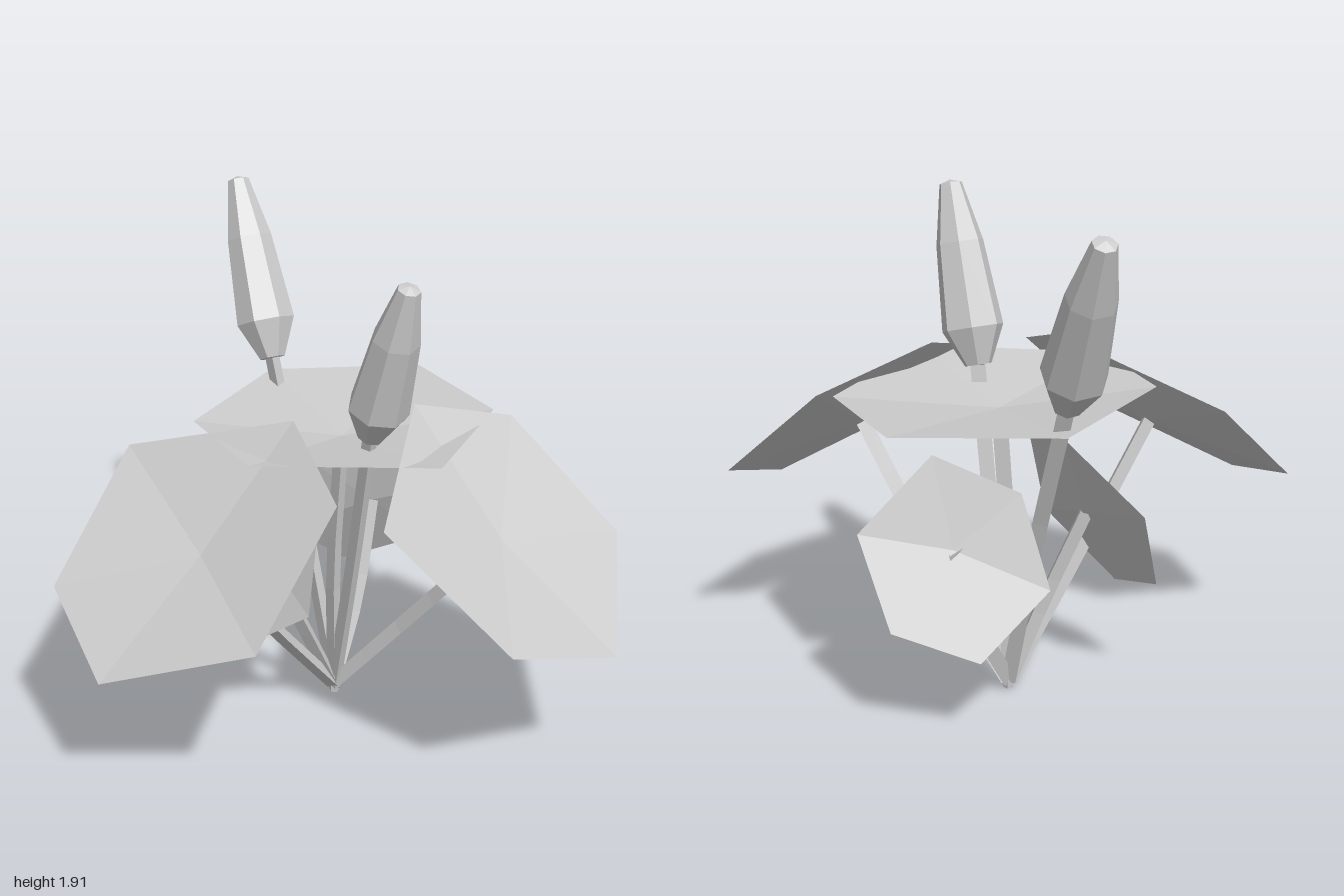
import * as THREE from 'three';

const V = (p) => new THREE.Vector3(...p);
const material = new THREE.MeshStandardMaterial({ color: 0xcccccc, flatShading: true, side: THREE.DoubleSide });
const ROOT = [0.17, 0.03, -0.14];

// Six-sided leaf: a shallow fan of triangles around a dipped centre
function makeLeaf(name, center, rim) {
  const points = [];
  rim.forEach((p, i) => points.push(...center, ...rim[(i + 1) % rim.length], ...p));
  const geo = new THREE.BufferGeometry();
  geo.setAttribute('position', new THREE.Float32BufferAttribute(points, 3));
  geo.computeVertexNormals();
  const mesh = new THREE.Mesh(geo, material);
  mesh.name = name;
  return mesh;
}

// Thin three-sided stem bowing from the shared root to its tip
function makeStem(name, tip, mid) {
  const curve = new THREE.CatmullRomCurve3([ROOT, mid, tip].map(V));
  const mesh = new THREE.Mesh(new THREE.TubeGeometry(curve, 5, 0.032, 3), material);
  mesh.name = name;
  return mesh;
}

// Closed flower bud turned around the line from base to tip
function makeBud(name, base, tip, girth) {
  const axis = V(tip).sub(V(base));
  const length = axis.length();
  const profile = [[0, 0], [0.05, 0], [0.115, 0.2], [0.088, 0.66], [0.042, 0.98], [0, 1]]
    .map(([r, t]) => new THREE.Vector2(r * girth, t * length));
  const mesh = new THREE.Mesh(new THREE.LatheGeometry(profile, 7), material);
  mesh.position.copy(V(base));
  mesh.quaternion.setFromUnitVectors(new THREE.Vector3(0, 1, 0), axis.normalize());
  mesh.name = name;
  return mesh;
}

// Each leaf: centre, stem mid-point, rim
const LEAVES = {
  front: [[0.45, 0.89, 0.52], [0.32, 0.42, 0.15],
    [[0.34, 1.3, 0.12], [0.78, 1.16, 0.14], [0.99, 0.78, 0.54], [0.63, 0.57, 0.98], [0.15, 0.72, 0.98], [-0.11, 1.1, 0.58]]],
  right: [[-0.52, 0.89, 0.04], [-0.16, 0.43, -0.05],
    [[-0.5, 1.1, -0.52], [-0.11, 1.3, 0.01], [-0.2, 1.16, 0.43], [-0.62, 0.78, 0.58], [-1, 0.58, 0.16], [-0.93, 0.72, -0.32]]],
  top: [[0.2, 1.11, -0.14], [0.17, 0.55, -0.15],
    [[0.23, 1.18, -0.7], [0.75, 1.18, -0.42], [0.74, 1.17, 0.08], [0.24, 1.19, 0.43], [-0.32, 1.19, 0.05], [-0.29, 1.19, -0.4]]],
  backLeft: [[0.475, 0.69, -0.33], [0.34, 0.33, -0.23],
    [[0.5, 1.01, -0.22], [0.24, 0.88, -0.39], [0.2, 0.56, -0.53], [0.47, 0.34, -0.53], [0.73, 0.44, -0.36], [0.77, 0.75, -0.18]]],
  backRight: [[-0.11, 0.68, -0.21], [0.03, 0.35, -0.16],
    [[0.02, 1.01, -0.29], [0, 0.93, 0.015], [-0.13, 0.565, 0.14], [-0.29, 0.34, -0.13], [-0.29, 0.44, -0.43], [-0.15, 0.78, -0.57]]],
};

// Each bud: base, tip, stem mid-point, girth
const BUDS = {
  front: [[0.17, 1.2, 0.09], [0.17, 1.84, 0.31], [0.17, 0.6, -0.02], 1],
  back: [[0.195, 1.26, -0.63], [0.245, 1.9, -0.96], [0.18, 0.65, -0.37], 1],
};

export function createModel() {
  const model = new THREE.Group();
  model.name = 'plant';
  for (const [side, [center, mid, rim]] of Object.entries(LEAVES)) {
    model.add(makeLeaf(side + 'Leaf', center, rim), makeStem(side + 'LeafStem', center, mid));
  }
  for (const [side, [base, tip, mid, girth]] of Object.entries(BUDS)) {
    model.add(makeBud(side + 'Bud', base, tip, girth), makeStem(side + 'BudStem', base, mid));
  }

  // Small knot where all stems meet
  const knot = new THREE.Mesh(new THREE.CylinderGeometry(0.025, 0.02, 0.05, 5), material);
  knot.position.set(ROOT[0], 0.025, ROOT[2]);
  knot.name = 'rootKnot';
  model.add(knot);
  return model;
}
